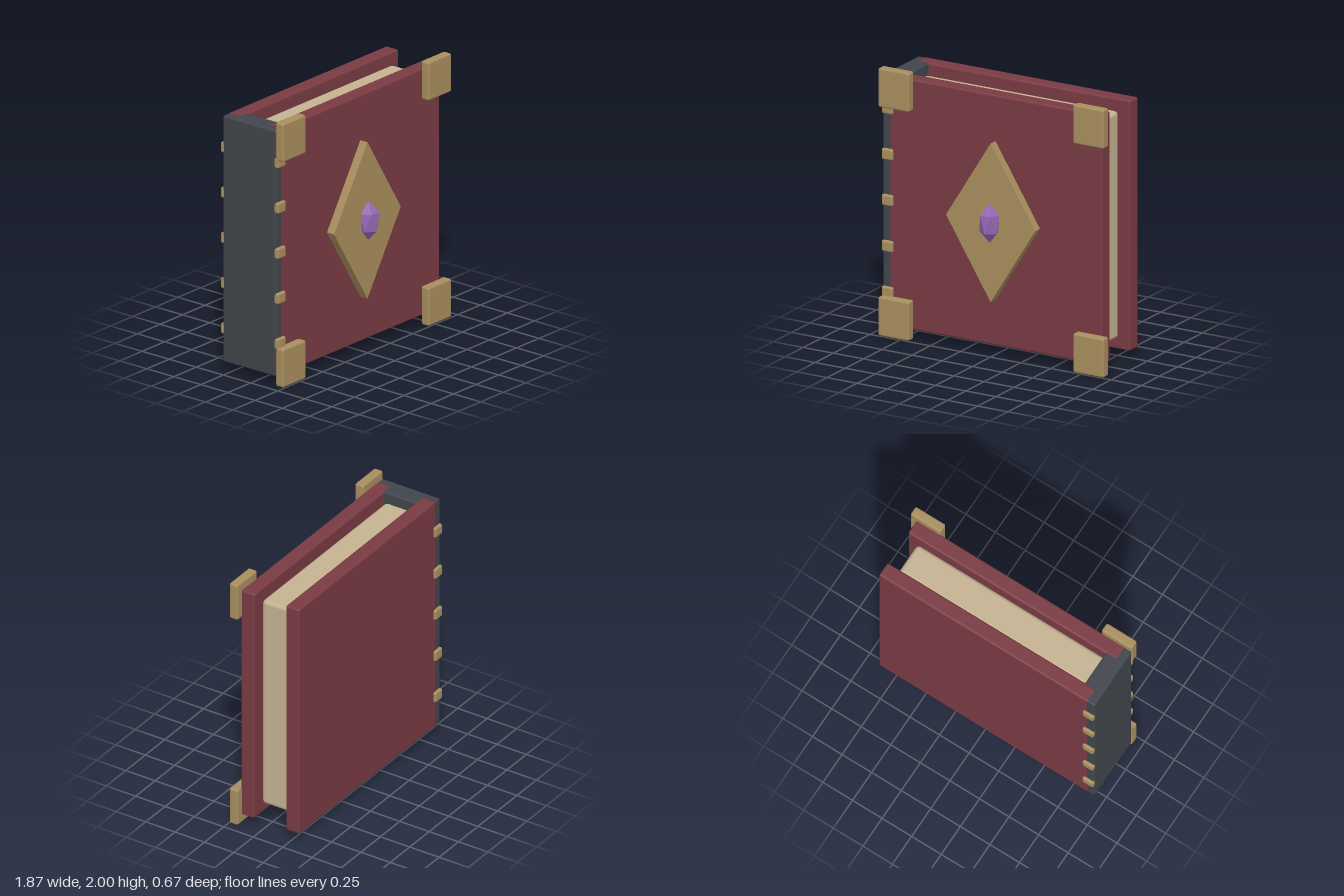
import * as THREE from 'three';
import { RoundedBoxGeometry } from 'three/addons/geometries/RoundedBoxGeometry.js';

const material = (color, flatShading = false) => new THREE.MeshStandardMaterial({ color, flatShading });

export function createModel() {
  const book = new THREE.Group();
  book.name = 'book';

  const leather = material(0x7a3b43);
  const dark = material(0x41464c);
  const paper = material(0xc4b391);
  const brass = material(0xa88e5e);
  const brassFlat = material(0xa88e5e, true);
  const amethyst = material(0x9468b4, true);

  function add(name, geometry, mat) {
    const mesh = new THREE.Mesh(geometry, mat);
    mesh.name = name;
    book.add(mesh);
    return mesh;
  }

  // Box with softened edges, given by its extents along each axis
  function block(name, [x0, x1], [y0, y1], [z0, z1], radius, mat) {
    const geometry = new RoundedBoxGeometry(x1 - x0, y1 - y0, z1 - z0, 2, radius);
    add(name, geometry, mat).position.set((x0 + x1) / 2, (y0 + y1) / 2, (z0 + z1) / 2);
  }

  // Covers, spine and page block
  block('frontCover', [-0.88, 0.885], [0.068, 1.937], [0.068, 0.182], 0.015, leather);
  block('backCover', [-0.88, 0.885], [0.068, 1.937], [-0.312, -0.198], 0.015, leather);
  block('spine', [-0.937, -0.785], [0.07, 1.935], [-0.31, 0.18], 0.015, dark);
  block('pages', [-0.8, 0.8], [0.157, 1.852], [-0.193, 0.062], 0.03, paper);

  // Raised bands wrapped across the spine
  for (let i = 0; i < 5; i++) {
    const y = 0.318 + i * 0.343;
    block('spineBand' + (i + 1), [-0.936, -0.845], [y - 0.041, y + 0.041], [-0.332, 0.203], 0.014, brass);
  }

  // Corner plates on the front cover
  for (const sx of [-1, 1]) {
    for (const top of [false, true]) {
      const x = sx < 0 ? [-0.936, -0.68] : [0.68, 0.936];
      const y = top ? [1.708, 2] : [0, 0.292];
      block((top ? 'upper' : 'lower') + (sx < 0 ? 'Right' : 'Left') + 'CornerPlate', x, y, [0.176, 0.248], 0.015, brass);
    }
  }

  // Diamond plate
  const diamond = new THREE.Shape([
    new THREE.Vector2(0, -0.593), new THREE.Vector2(0.37, 0),
    new THREE.Vector2(0, 0.593), new THREE.Vector2(-0.37, 0),
  ]);
  add('diamondPlate', new THREE.ExtrudeGeometry(diamond, { depth: 0.098, bevelEnabled: false }), brassFlat)
    .position.set(0, 1.002, 0.15);

  // Faceted gem, a stretched icosahedron standing on one point
  const gem = new THREE.IcosahedronGeometry(1, 0);
  gem.rotateX(-Math.atan2((1 + Math.sqrt(5)) / 2, 1));
  gem.rotateY(Math.PI);
  gem.scale(0.084, 0.146, 0.084);
  add('gem', gem, amethyst).position.set(0, 1.004, 0.259);

  return book;
}
